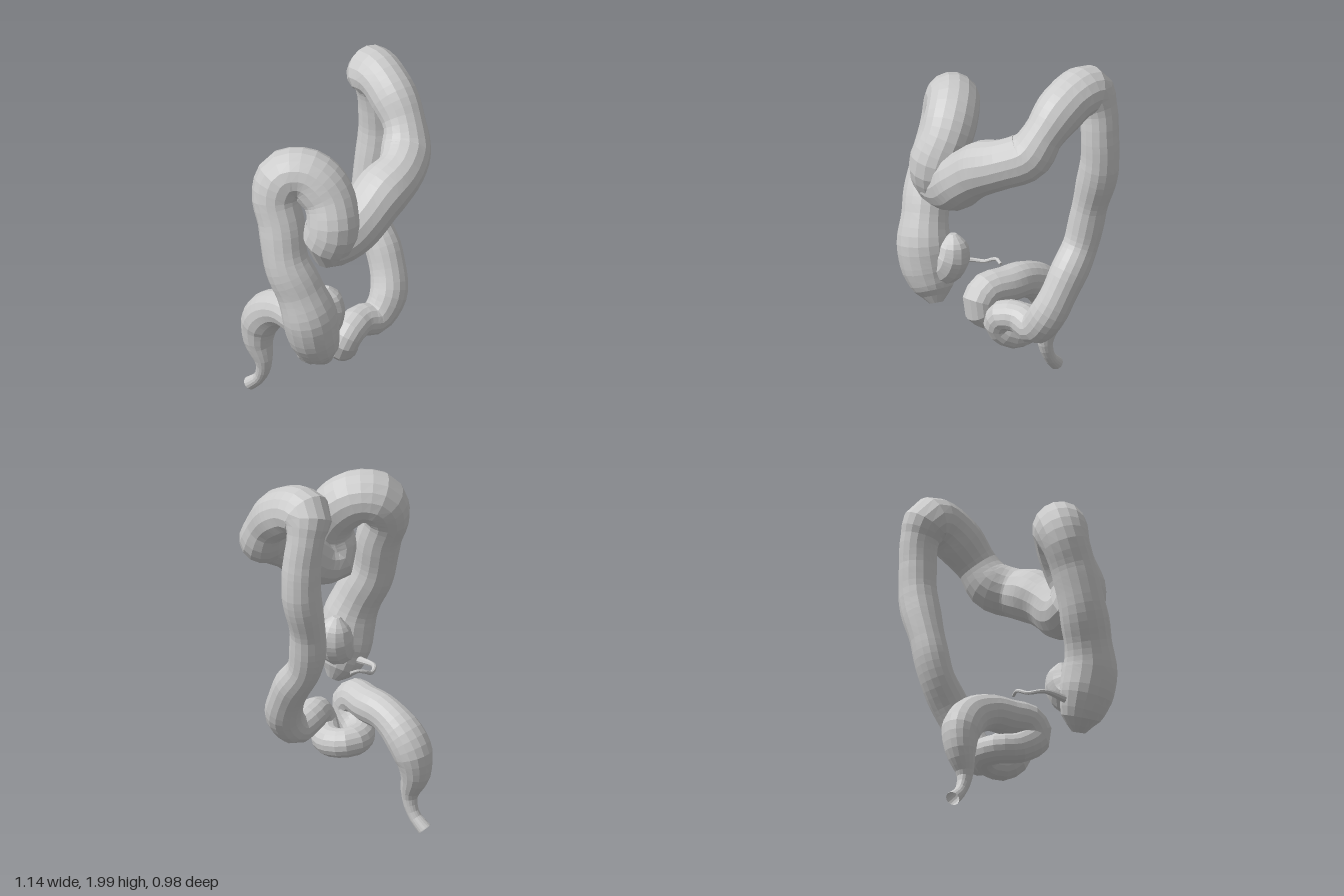
import * as THREE from 'three';

const material = new THREE.MeshStandardMaterial({ color: 0xcccccc, flatShading: true, side: THREE.DoubleSide });

// Rings along a smooth path; each station is [x, y, z, radius]
function makeRings(stations, count, sides, ripple = 0) {
  const curve = new THREE.CatmullRomCurve3(stations.map(s => new THREE.Vector3(s[0], s[1], s[2])));
  curve.arcLengthDivisions = 1000;
  const frames = curve.computeFrenetFrames(count);
  const rings = [];
  for (let i = 0; i <= count; i++) {
    const f = curve.getUtoTmapping(i / count) * (stations.length - 1);
    const k = Math.min(Math.floor(f), stations.length - 2);
    const base = THREE.MathUtils.lerp(stations[k][3], stations[k + 1][3], f - k);
    const center = curve.getPointAt(i / count);
    const points = [];
    for (let j = 0; j < sides; j++) {
      const a = (j / sides) * Math.PI * 2;
      const r = base * (1 + ripple * (Math.sin(i * 0.9) + 0.8 * Math.sin(i * 0.53 + 2 * a)));
      points.push(center.clone()
        .addScaledVector(frames.normals[i], Math.cos(a) * r)
        .addScaledVector(frames.binormals[i], Math.sin(a) * r));
    }
    rings.push({ f, center, points });
  }
  return rings;
}

// Skin a run of rings, with optional closed ends
function skin(name, rings, capStart = false, capEnd = false) {
  const sides = rings[0].points.length;
  const pos = [], index = [];
  rings.forEach(r => r.points.forEach(p => pos.push(p.x, p.y, p.z)));
  for (let i = 0; i < rings.length - 1; i++) {
    for (let j = 0; j < sides; j++) {
      const a = i * sides + j, b = i * sides + (j + 1) % sides;
      index.push(a, b, a + sides, b, b + sides, a + sides);
    }
  }
  const cap = (ring, first, flip) => {
    const c = pos.length / 3;
    pos.push(ring.center.x, ring.center.y, ring.center.z);
    for (let j = 0; j < sides; j++) {
      const a = first + j, b = first + (j + 1) % sides;
      index.push(c, flip ? b : a, flip ? a : b);
    }
  };
  if (capStart) cap(rings[0], 0, true);
  if (capEnd) cap(rings[rings.length - 1], (rings.length - 1) * sides, false);
  const geometry = new THREE.BufferGeometry();
  geometry.setAttribute('position', new THREE.Float32BufferAttribute(pos, 3));
  geometry.setIndex(index);
  geometry.computeVertexNormals();
  const mesh = new THREE.Mesh(geometry, material);
  mesh.name = name;
  return mesh;
}

// Sections of the bowel in order; each continues from the previous one
const sections = {
  ascendingColon: [
    [-0.31, 0.6, 0.26, 0.035], [-0.34, 0.67, 0.24, 0.105], [-0.38, 0.78, 0.23, 0.142],
    [-0.41, 0.92, 0.225, 0.138], [-0.43, 1.05, 0.18, 0.125], [-0.45, 1.2, 0.11, 0.12],
    [-0.43, 1.4, 0.06, 0.115],
  ],
  rightFlexure: [
    [-0.415, 1.54, 0.01, 0.125], [-0.365, 1.64, 0.03, 0.138], [-0.3, 1.65, 0.12, 0.14],
    [-0.265, 1.55, 0.23, 0.135], [-0.29, 1.41, 0.285, 0.14], [-0.29, 1.295, 0.25, 0.135],
  ],
  transverseColon: [
    [-0.21, 1.3, 0.285, 0.135], [-0.1, 1.39, 0.33, 0.138], [0.02, 1.48, 0.345, 0.142],
    [0.16, 1.545, 0.355, 0.13], [0.27, 1.6, 0.3, 0.125],
  ],
  leftFlexure: [
    [0.325, 1.71, 0.24, 0.11], [0.36, 1.81, 0.14, 0.125], [0.39, 1.868, 0.03, 0.13],
    [0.41, 1.86, -0.05, 0.13], [0.45, 1.77, -0.07, 0.1],
  ],
  descendingColon: [
    [0.47, 1.63, -0.06, 0.095], [0.47, 1.45, -0.055, 0.103], [0.41, 1.2, -0.055, 0.092],
    [0.38, 1.0, -0.02, 0.092], [0.36, 0.85, 0.08, 0.095], [0.3, 0.66, 0.16, 0.095],
  ],
  sigmoidColon: [
    [0.21, 0.555, 0.15, 0.09], [0.11, 0.575, 0.13, 0.08], [0.02, 0.57, 0.145, 0.08],
    [-0.02, 0.5, 0.13, 0.075], [0.03, 0.445, 0.08, 0.078], [0.07, 0.45, 0.0, 0.076],
    [0.04, 0.46, -0.07, 0.076], [-0.05, 0.46, -0.07, 0.075], [-0.13, 0.47, 0.0, 0.08],
    [-0.17, 0.55, 0.08, 0.085], [-0.16, 0.615, 0.03, 0.092],
  ],
  rectum: [
    [-0.115, 0.615, -0.08, 0.094], [-0.085, 0.605, -0.2, 0.094], [-0.06, 0.54, -0.32, 0.1],
    [-0.055, 0.44, -0.39, 0.104], [-0.06, 0.33, -0.4, 0.08], [-0.06, 0.2, -0.365, 0.042],
    [-0.055, 0.1, -0.395, 0.03], [-0.055, 0.035, -0.46, 0.036],
  ],
};

export function createModel() {
  const group = new THREE.Group();
  group.name = 'largeIntestine';

  // One continuous tube, split into its named sections
  const rings = makeRings(Object.values(sections).flat(), 170, 16, 0.02);
  const names = Object.keys(sections);
  let from = 0, station = 0;
  names.forEach((name, n) => {
    station += sections[name].length;
    const last = n === names.length - 1;
    const to = last ? rings.length - 1 : rings.findIndex(r => r.f >= station - 0.5);
    group.add(skin(name, rings.slice(from, to + 1), n === 0));
    from = to;
  });

  // Pouch where the small bowel joins
  group.add(skin('ileumStub', makeRings([
    [-0.36, 0.77, 0.22, 0.09], [-0.28, 0.8, 0.215, 0.095], [-0.25, 0.86, 0.21, 0.095],
    [-0.245, 0.93, 0.205, 0.075], [-0.25, 0.98, 0.2, 0.02],
  ], 14, 12), true, true));

  // Thin curling appendix
  group.add(skin('appendix', makeRings([
    [-0.33, 0.73, 0.12, 0.02], [-0.29, 0.74, 0.0, 0.012], [-0.21, 0.74, -0.035, 0.01],
    [-0.16, 0.765, -0.035, 0.01], [-0.12, 0.78, -0.015, 0.009], [-0.085, 0.775, 0.01, 0.008],
  ], 24, 8), true, true));

  return group;
}
